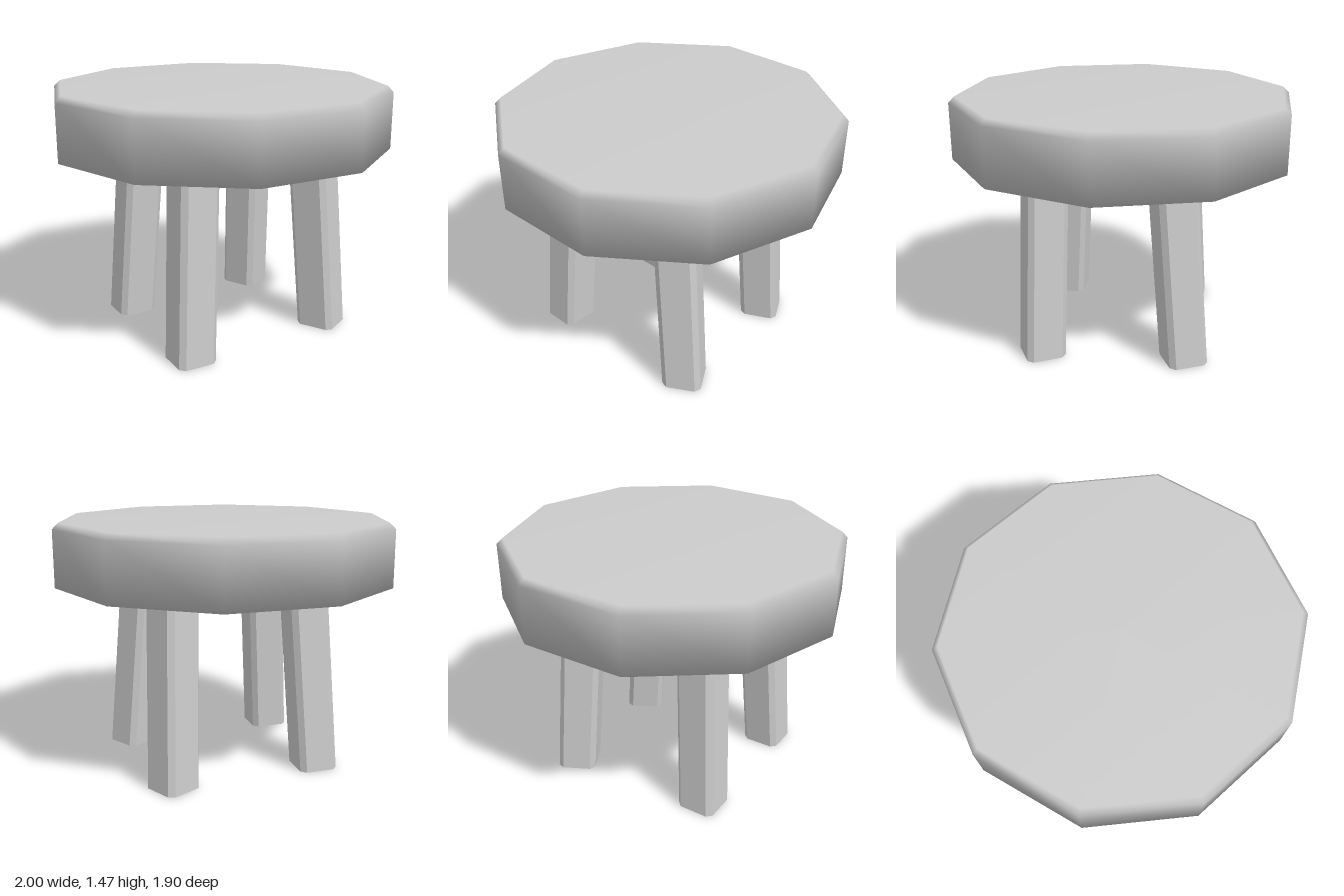
import * as THREE from 'three';

const SEAT_BOTTOM = 1.1;

// Square post with chamfered corners, turned and leaned from its foot to its top.
function legGeometry(foot, top, yaw) {
  const h = 0.115, k = h - 0.03;
  const section = new THREE.Shape([
    [h, -k], [h, k], [k, h], [-k, h], [-h, k], [-h, -k], [-k, -h], [k, -h],
  ].map(([x, y]) => new THREE.Vector2(x, y)));
  const geo = new THREE.ExtrudeGeometry(section, { depth: SEAT_BOTTOM, bevelEnabled: false });
  geo.rotateX(-Math.PI / 2);
  geo.rotateY(yaw);
  const p = geo.attributes.position;
  for (let i = 0; i < p.count; i++) {
    const t = p.getY(i) / SEAT_BOTTOM;
    p.setX(i, p.getX(i) + THREE.MathUtils.lerp(foot[0], top[0], t));
    p.setZ(i, p.getZ(i) + THREE.MathUtils.lerp(foot[1], top[1], t));
  }
  geo.computeVertexNormals();
  return geo;
}

export function createModel() {
  const model = new THREE.Group();
  model.name = 'stool';

  // Ten-sided seat with a bevelled top rim, smooth shaded
  const profile = [
    [0, SEAT_BOTTOM], [1, SEAT_BOTTOM], [1, 1.43], [0.965, 1.465], [0, 1.465],
  ].map(([r, y]) => new THREE.Vector2(r, y));
  const seat = new THREE.Mesh(
    new THREE.LatheGeometry(profile, 10, Math.PI / 2),
    new THREE.MeshStandardMaterial({ color: 0xcccccc }),
  );
  seat.name = 'seat';
  model.add(seat);

  // Four splayed legs, each leaning along its own diagonal: foot and top as [x, z]
  const legMaterial = new THREE.MeshStandardMaterial({ color: 0xcccccc, flatShading: true });
  const legs = [
    { name: 'frontLeftLeg', foot: [0.495, 0.4], top: [0.405, 0.378], yaw: 30 },
    { name: 'backLeftLeg', foot: [0.44, -0.425], top: [0.405, -0.335], yaw: 27 },
    { name: 'frontRightLeg', foot: [-0.445, 0.455], top: [-0.383, 0.39], yaw: 0 },
    { name: 'backRightLeg', foot: [-0.445, -0.367], top: [-0.383, -0.302], yaw: 0 },
  ];
  for (const { name, foot, top, yaw } of legs) {
    const leg = new THREE.Mesh(legGeometry(foot, top, THREE.MathUtils.degToRad(yaw)), legMaterial);
    leg.name = name;
    model.add(leg);
  }
  return model;
}
